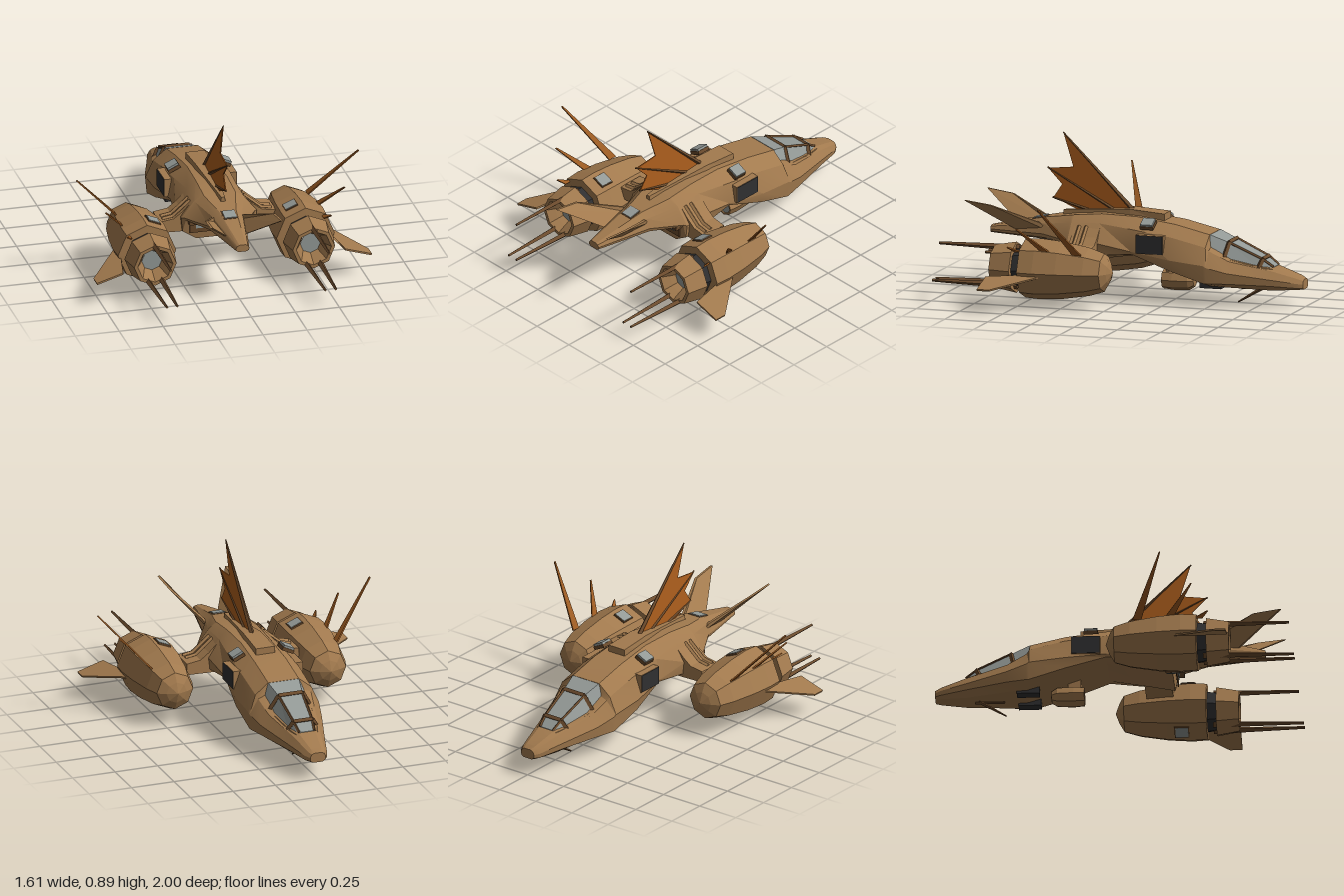
import * as THREE from 'three';
import { toCreasedNormals } from 'three/addons/utils/BufferGeometryUtils.js';

const V = (x, y, z) => new THREE.Vector3(x, y, z);

export function createModel() {
  const root = new THREE.Group();
  const material = (name, color) => {
    const m = new THREE.MeshStandardMaterial({ color });
    m.name = name;
    return m;
  };
  const tan = material('tan hull', 0xa27a4e);
  const brown = material('dark brown trim', 0x6a4a2c);
  const orange = material('orange membrane', 0xb0601e);
  const rust = material('rust antenna', 0x9a5a22);
  const grey = material('grey glass', 0x949a97);
  const dark = material('charcoal', 0x303031);

  const add = (name, geo, mat, parent = root) => {
    const m = new THREE.Mesh(geo, mat);
    m.name = name;
    parent.add(m);
    return m;
  };
  const flat = (g) => {
    const f = g.toNonIndexed();
    f.computeVertexNormals();
    return f;
  };

  // Skin over a row of rings, with both ends capped
  const loft = (rings, crease = 0) => {
    const p = [];
    const tri = (...t) => t.forEach((v) => p.push(v.x, v.y, v.z));
    const n = rings[0].length;
    const last = rings[rings.length - 1];
    for (let s = 0; s < rings.length - 1; s++) {
      for (let i = 0; i < n; i++) {
        const j = (i + 1) % n;
        tri(rings[s][i], rings[s][j], rings[s + 1][j]);
        tri(rings[s][i], rings[s + 1][j], rings[s + 1][i]);
      }
    }
    for (let i = 1; i < n - 1; i++) {
      tri(rings[0][0], rings[0][i + 1], rings[0][i]);
      tri(last[0], last[i], last[i + 1]);
    }
    const g = new THREE.BufferGeometry();
    g.setAttribute('position', new THREE.Float32BufferAttribute(p, 3));
    g.computeVertexNormals();
    return crease ? toCreasedNormals(g, crease) : g;
  };
  // Symmetric ring from right-hand points listed bottom to top
  const ring = (z, half) => [
    ...half.map(([x, y]) => V(x, y, z)),
    ...half.slice().reverse().map(([x, y]) => V(-x, y, z)),
  ];
  // Thin plate from a flat outline that starts at a convex corner
  const slab = (pts, t) => {
    const n = pts[1].clone().sub(pts[0]).cross(pts[2].clone().sub(pts[0])).setLength(t / 2);
    return loft([pts.map((v) => v.clone().sub(n)), pts.map((v) => v.clone().add(n))]);
  };
  // Tapered four-sided bar between two points
  const bar = (a, b, r1, r2 = r1) => {
    const d = b.clone().sub(a);
    const g = new THREE.CylinderGeometry(r2, r1, d.length(), 4);
    g.applyQuaternion(new THREE.Quaternion().setFromUnitVectors(V(0, 1, 0), d.normalize()));
    g.translate((a.x + b.x) / 2, (a.y + b.y) / 2, (a.z + b.z) / 2);
    return flat(g);
  };
  const box = (w, h, d, x, y, z) => new THREE.BoxGeometry(w, h, d).translate(x, y, z);
  // Eight-sided turned part along z, profile as [radius, z]
  const turned = (profile) => flat(new THREE.LatheGeometry(
    profile.map(([r, z]) => new THREE.Vector2(r, z)), 8).rotateX(Math.PI / 2));

  // Hull from nose to tail: z, bottom, lower side y, widest x y, shoulder x y, roof y
  const hull = [
    [-1, .1, .11, .045, .13, .037, .148, .155],
    [-.97, .098, .11, .066, .135, .05, .16, .17],
    [-.83, .09, .12, .107, .155, .08, .2, .215],
    [-.6, .1, .13, .178, .19, .135, .25, .265],
    [-.49, .105, .13, .206, .22, .155, .305, .33],
    [-.475, .11, .13, .208, .23, .165, .325, .385],
    [-.28, .17, .19, .212, .25, .168, .37, .43],
    [-.05, .25, .265, .183, .28, .16, .4, .46],
    [.15, .22, .25, .205, .32, .14, .42, .465],
    [.31, .19, .24, .215, .32, .14, .415, .45],
    [.325, .3, .31, .2, .325, .135, .41, .447],
    [.49, .3, .315, .105, .335, .085, .39, .42],
    [.815, .312, .32, .038, .332, .03, .346, .352],
  ];
  add('hull', loft(hull.map(([z, bottom, low, w, y, sx, sy, roof]) => ring(z, [
    [w * .6, bottom], [w * .96, low], [w, y], [sx, sy], [Math.min(.09, w * .46), roof],
  ])), 0.4), tan);
  add('rearOpening', box(.34, .06, .006, 0, .262, .324), brown);
  add('rearLip', box(.36, .02, .05, 0, .302, .335), brown);
  add('rearLight', box(.27, .026, .006, 0, .272, .33), grey);

  // Canopy glass and its frame: z, side x, base y, roof x, roof y
  const canopy = [
    [-.83, .06, .19, .045, .218], [-.77, .08, .2, .055, .26], [-.58, .118, .24, .07, .345],
    [-.478, .128, .3, .09, .385],
  ];
  add('canopyGlass', loft(canopy.map(([z, w, b, tw, t]) => ring(z, [[w, b], [tw, t]]))), grey);
  canopy.slice(1, 3).forEach(([z, w, b, tw, t]) => {
    add('canopyArch', bar(V(-tw, t, z), V(tw, t, z), .014), brown);
    for (const s of [-1, 1]) add('canopyArch', bar(V(s * (w + .01), b, z + .02), V(s * tw, t, z), .014), brown);
  });
  for (const s of [-1, 1]) {
    for (let i = 0; i < 2; i++) {
      const [z, w, b, tw, t] = canopy[i], [z2, w2, b2, tw2, t2] = canopy[i + 1];
      add('canopyRail', bar(V(s * tw, t, z), V(s * tw2, t2, z2), .008), brown);
      add('canopySill', bar(V(s * w, b + .01, z), V(s * w2, b2 + .01, z2), .01), tan);
    }
  }

  // Spine block tapering to the rear, and tail hatch
  add('spine', loft([
    ring(-.2, [[.055, .43], [.055, .478]]), ring(0, [[.055, .44], [.05, .492]]),
    ring(.4, [[.015, .42], [.01, .46]]),
  ]), tan);
  const hatch = add('tailHatch', box(.078, .02, .078, 0, 0, 0), brown);
  hatch.position.set(0, .404, .53);
  hatch.rotation.x = .21;
  add('tailHatchGlass', box(.068, .008, .068, 0, .01, 0), grey, hatch);

  // Dorsal sail: membrane with three ribs
  const sail = [[0, .47], [.4, .88], [.345, .7], [.49, .685], [.41, .6], [.46, .525], [.3, .455]];
  add('sailMembrane', slab(sail.map(([z, y]) => V(0, y, z)), .006), orange);
  add('sailRib', bar(V(0, .47, -.01), V(0, .89, .405), .014, .004), brown);
  add('sailRib', bar(V(0, .46, .08), V(0, .69, .495), .013, .005), brown);
  add('sailRib', bar(V(0, .45, .2), V(0, .525, .465), .013, .006), brown);

  // Belly pod on its pylon, and nose probe
  add('bellyPod', turned([[0, -.365], [.035, -.36], [.055, -.33], [.06, -.24], [.055, -.18], [.045, -.18], [.04, -.2]])
    .translate(0, .108, 0), tan);
  add('podExhaust', new THREE.CircleGeometry(.045, 8).translate(0, .108, -.186), grey);
  add('podPylon', box(.06, .13, .07, 0, .195, -.235), tan);
  add('noseProbe', bar(V(0, .095, -.76), V(0, .003, -.61), .012, .004), brown);
  add('noseProbe', bar(V(0, .085, -.62), V(0, .088, -.78), .008), brown);

  // Parts repeated on both sides
  for (const s of [-1, 1]) {
    const side = new THREE.Group();
    side.name = s > 0 ? 'leftSide' : 'rightSide';
    root.add(side);
    const P = (x, y, z) => V(s * x, y, z);

    add('windowFrame', box(.05, .104, .16, s * .179, .328, -.163), tan, side);
    add('sideWindow', box(.006, .1, .154, s * .204, .328, -.163), dark, side);
    add('bellyBlock', box(.06, .045, .125, s * .08, .111, -.485), dark, side);
    const pad = add('roofHatch', box(.072, .02, .076, 0, 0, 0), brown, side);
    pad.position.set(s * .144, .43, -.137);
    pad.rotation.z = -s * .45;
    add('roofHatchGlass', box(.066, .032, .07, 0, .006, 0), grey, pad);

    // Tail fin
    add('tailFin', slab([P(.07, .35, .47), P(.09, .395, .51), P(.192, .495, .76),
      P(.2, .515, .91), P(.06, .35, .67)], .014), tan, side);

    // Wing strut and its slats
    const strut = new THREE.Shape([[.12, .43], [.12, .23], [.33, .235], [.33, .3], [.25, .312], [.2, .35]]
      .map(([x, y]) => new THREE.Vector2(s * x, y)));
    add('strut', new THREE.ExtrudeGeometry(strut, { depth: .15, bevelEnabled: false }).translate(0, 0, .14), tan, side);
    for (const z of [.22, .26]) {
      add('strutSlat', bar(P(.15, .4, z), P(.25, .314, z), .011), tan, side);
      add('strutSlat', bar(P(.25, .314, z), P(.31, .304, z), .011), tan, side);
    }

    // Engine
    const engine = new THREE.Group();
    engine.name = 'engine';
    engine.position.set(s * .45, .207, 0);
    side.add(engine);
    add('engineBody', turned([[0, -.037], [.06, -.015], [.107, .012], [.135, .1], [.16, .25], [.17, .38],
      [.165, .468], [.1, .47]]), tan, engine);
    add('engineNeck', turned([[.12, .46], [.108, .53]]), dark, engine);
    add('engineNozzle', turned([[.1, .52], [.143, .52], [.12, .645], [.1, .645], [.075, .6], [.055, .56]]), tan, engine);
    add('engineExhaust', new THREE.CircleGeometry(.058, 8).translate(0, 0, .57), grey, engine);
    // Hatches on the inner facets, above and below
    for (const u of [-1, 1]) {
      const plate = new THREE.Group();
      plate.name = 'engineHatch';
      plate.rotation.z = u > 0 ? s * Math.PI / 8 : Math.PI - s * Math.PI / 8;
      plate.position.z = u > 0 ? .365 : .33;
      engine.add(plate);
      add('hatchFrame', box(.076, .02, .08, 0, .152, 0), brown, plate);
      add('hatchGlass', box(.067, .008, .07, 0, .161, 0), grey, plate);
    }
    // Rear prongs: one above, two below
    for (const [x, y] of [[0, .11], [-.042, -.095], [.042, -.095]]) {
      const end = y > 0 ? .97 : 1;
      add('prong', bar(V(x, y, .5), V(x * .7, y, end), .02, .008), brown, engine);
    }
    // Drooping fin and swept blade antennas
    add('engineFin', slab([P(.56, .2, .28), P(.78, .13, .57), P(.78, .13, .64),
      P(.63, .176, .64), P(.62, .179, .47), P(.58, .192, .45)], .01), tan, side);
    for (const [z, x, y, tip] of [[.14, .8, .6, .28], [.31, .678, .462, .445], [.475, .58, .34, .53]]) {
      add('antenna', slab([P(.545, .312, z - .025), P(.545, .312, z + .025),
        P(x, y, tip + .004), P(x, y, tip - .004)], .008), rust, side);
    }
  }
  return root;
}
